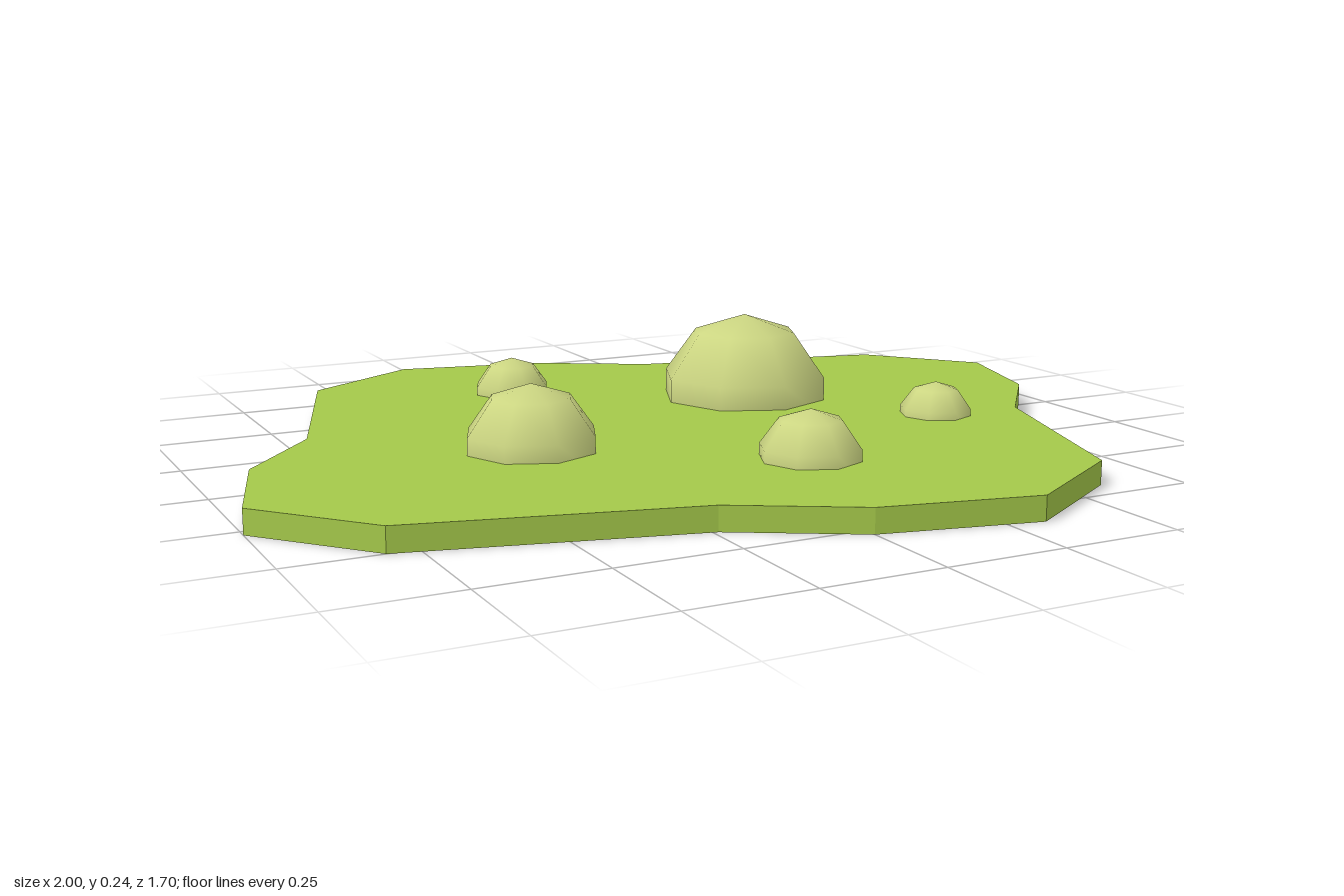
import * as THREE from 'three';

const SLAB_TOP = 0.05;

export function createModel() {
  const model = new THREE.Group();
  model.name = 'grassPatch';

  const grass = new THREE.MeshStandardMaterial({ color: 0xa4c84a });
  grass.name = 'grass green';
  const bush = new THREE.MeshStandardMaterial({ color: 0xccd682 });
  bush.name = 'pale bush green';

  // Ground slab: half of the outline (x, z), repeated turned by 180 degrees
  const half = [
    [-0.325, -0.85], [0, -0.78], [0.24, -0.64], [0.81, -0.5],
    [1, -0.275], [0.92, 0], [0.75, 0.205], [0.59, 0.687],
  ];
  const outline = [...half, ...half.map(([x, z]) => [-x, -z])];
  const shape = new THREE.Shape(outline.map(([x, z]) => new THREE.Vector2(x, -z)));
  const slab = new THREE.ExtrudeGeometry(shape, { depth: SLAB_TOP, bevelEnabled: false });
  slab.rotateX(-Math.PI / 2);
  const ground = new THREE.Mesh(slab, grass);
  ground.name = 'ground';
  model.add(ground);

  // Bushes: low-poly smooth domes sunk into the slab (x, z, radius)
  const bushes = [
    [0.275, -0.19, 0.199],
    [-0.37, 0.088, 0.145],
    [0.09, 0.41, 0.11],
    [-0.19, -0.465, 0.091],
    [0.55, 0.18, 0.082],
  ];
  const centreY = 0.04;
  for (const [x, z, r] of bushes) {
    const dome = new THREE.SphereGeometry(r, 8, 3, 0, Math.PI * 2, 0, Math.PI * 0.6);
    // Keep the buried rim inside the slab
    const pos = dome.attributes.position;
    for (let i = 0; i < pos.count; i++) pos.setY(i, Math.max(pos.getY(i), 0.01 - centreY));
    const mesh = new THREE.Mesh(dome, bush);
    mesh.name = 'bush';
    mesh.position.set(x, centreY, z);
    model.add(mesh);
  }
  return model;
}
